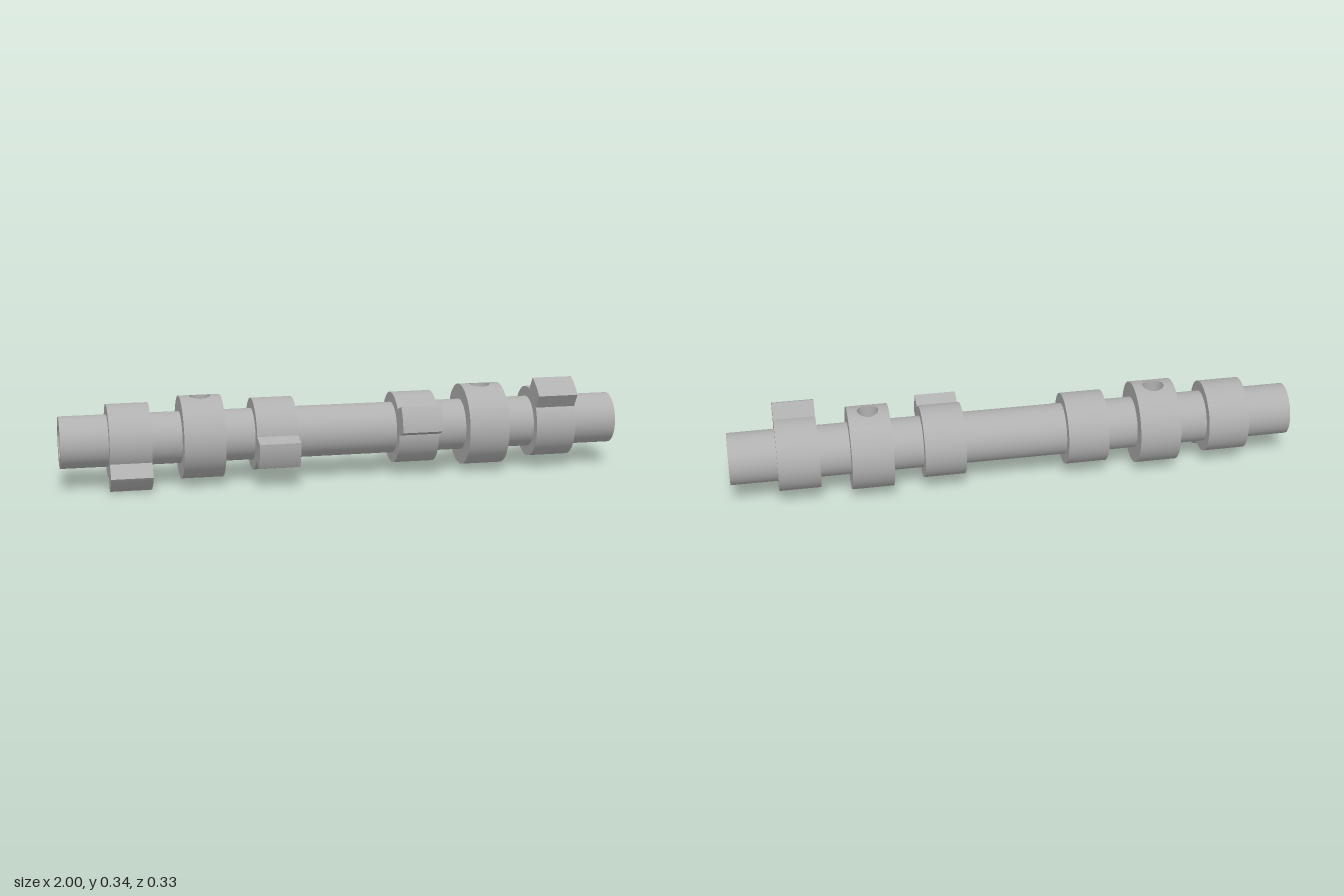
import * as THREE from 'three';
import { mergeGeometries } from 'three/addons/utils/BufferGeometryUtils.js';
import { ParametricGeometry } from 'three/addons/geometries/ParametricGeometry.js';

const BORE = 0.057, SHAFT = 0.091, CAM = 0.127, TOOTH = 0.182, COLLAR = 0.1455;
const HALF = 0.0725;          // half width of cams and collars
const COLLAR_X = 0.509, HOLE = 0.037;

// One smooth band revolved about the x axis from (x0, r0) to (x1, r1).
// gap leaves an opening of +-gap radians around the top.
function band(x0, r0, x1, r1, gap = 0) {
  const pts = [new THREE.Vector2(r0, x0), new THREE.Vector2(r1, x1)];
  return new THREE.LatheGeometry(pts, 72, Math.PI * 1.5 + gap, Math.PI * 2 - 2 * gap)
    .rotateZ(-Math.PI / 2);
}

// Curved patch at the top of a cylinder with a round hole in its middle
function holedPatch(r, gap, inward) {
  const halfZ = r * Math.sin(gap);
  return new ParametricGeometry((u, v, out) => {
    const t = (inward ? 1 - u : u) * Math.PI * 2;
    const c = Math.cos(t), s = Math.sin(t), m = Math.max(Math.abs(c), Math.abs(s));
    const x = THREE.MathUtils.lerp(HOLE * c, HALF * c / m, v);
    const z = THREE.MathUtils.lerp(HOLE * s, halfZ * s / m, v);
    out.set(x, Math.sqrt(r * r - z * z), z);
  }, 48, 8);
}

// Wall of the radial oil hole, running from the collar surface to the bore
function holeWall() {
  return new ParametricGeometry((u, v, out) => {
    const t = (1 - u) * Math.PI * 2;
    const z = HOLE * Math.sin(t);
    const top = Math.sqrt(COLLAR * COLLAR - z * z), low = Math.sqrt(BORE * BORE - z * z);
    out.set(HOLE * Math.cos(t), THREE.MathUtils.lerp(top, low, v), z);
  }, 48, 1);
}

// Hollow length of shaft, with optional end faces
function shaftGeometry(x0, x1) {
  const parts = [band(x0, SHAFT, x1, SHAFT), band(x1, BORE, x0, BORE)];
  if (x0 === -1) parts.push(band(x0, BORE, x0, SHAFT));
  if (x1 === 1) parts.push(band(x1, SHAFT, x1, BORE));
  return mergeGeometries(parts);
}

// Raised disc with side faces down to the shaft
function discGeometry(r, gap = 0) {
  return [
    band(-HALF, SHAFT, -HALF, r),
    band(-HALF, r, HALF, r, gap),
    band(HALF, r, HALF, SHAFT),
  ];
}

// Collar with a hole drilled from the top into the bore
function collarGeometry() {
  const outerGap = 0.6, boreGap = 1.05;
  return mergeGeometries([
    ...discGeometry(COLLAR, outerGap),
    holedPatch(COLLAR, outerGap, false),
    band(HALF, BORE, -HALF, BORE, boreGap),
    holedPatch(BORE, boreGap, true),
    holeWall(),
  ]);
}

// Parallel-sided tooth with a round top, pointing at the given angle above +z
function toothGeometry(degrees) {
  const halfWidth = 0.047;
  const a = Math.asin(halfWidth / TOOTH), b = Math.asin(halfWidth / CAM);
  const shape = new THREE.Shape();
  shape.absarc(0, 0, TOOTH, -a, a, false);
  shape.absarc(0, 0, CAM, b, -b, true);
  return new THREE.ExtrudeGeometry(shape, { depth: HALF * 2, bevelEnabled: false, curveSegments: 16 })
    .translate(0, 0, -HALF)
    .rotateZ(THREE.MathUtils.degToRad(degrees))
    .rotateY(-Math.PI / 2);
}

export function createModel() {
  const steel = new THREE.MeshStandardMaterial({ color: 0xb0b0b0 });
  steel.name = 'grey steel';
  const model = new THREE.Group();
  model.name = 'camshaft';
  const add = (name, geometry, x = 0) => {
    const mesh = new THREE.Mesh(geometry, steel);
    mesh.name = name;
    mesh.position.x = x;
    model.add(mesh);
  };

  // Shaft lengths between the collars
  const inner = COLLAR_X - HALF, outer = COLLAR_X + HALF;
  add('rightShaftEnd', shaftGeometry(-1, -outer));
  add('middleShaft', shaftGeometry(-inner, inner));
  add('leftShaftEnd', shaftGeometry(outer, 1));

  // Drilled collars
  add('rightCollar', collarGeometry(), -COLLAR_X);
  add('leftCollar', collarGeometry(), COLLAR_X);

  // Cams, each tooth turned 35 degrees from the last
  [-0.7625, -0.254, 0.254, 0.7625].forEach((x, i) => {
    add(`cam${i + 1}`, mergeGeometries(discGeometry(CAM)), x);
    add(`camTooth${i + 1}`, toothGeometry(-50 + 35 * i), x);
  });

  model.position.set(0, 0.166, -0.0175);
  const root = new THREE.Group();
  root.add(model);
  return root;
}
